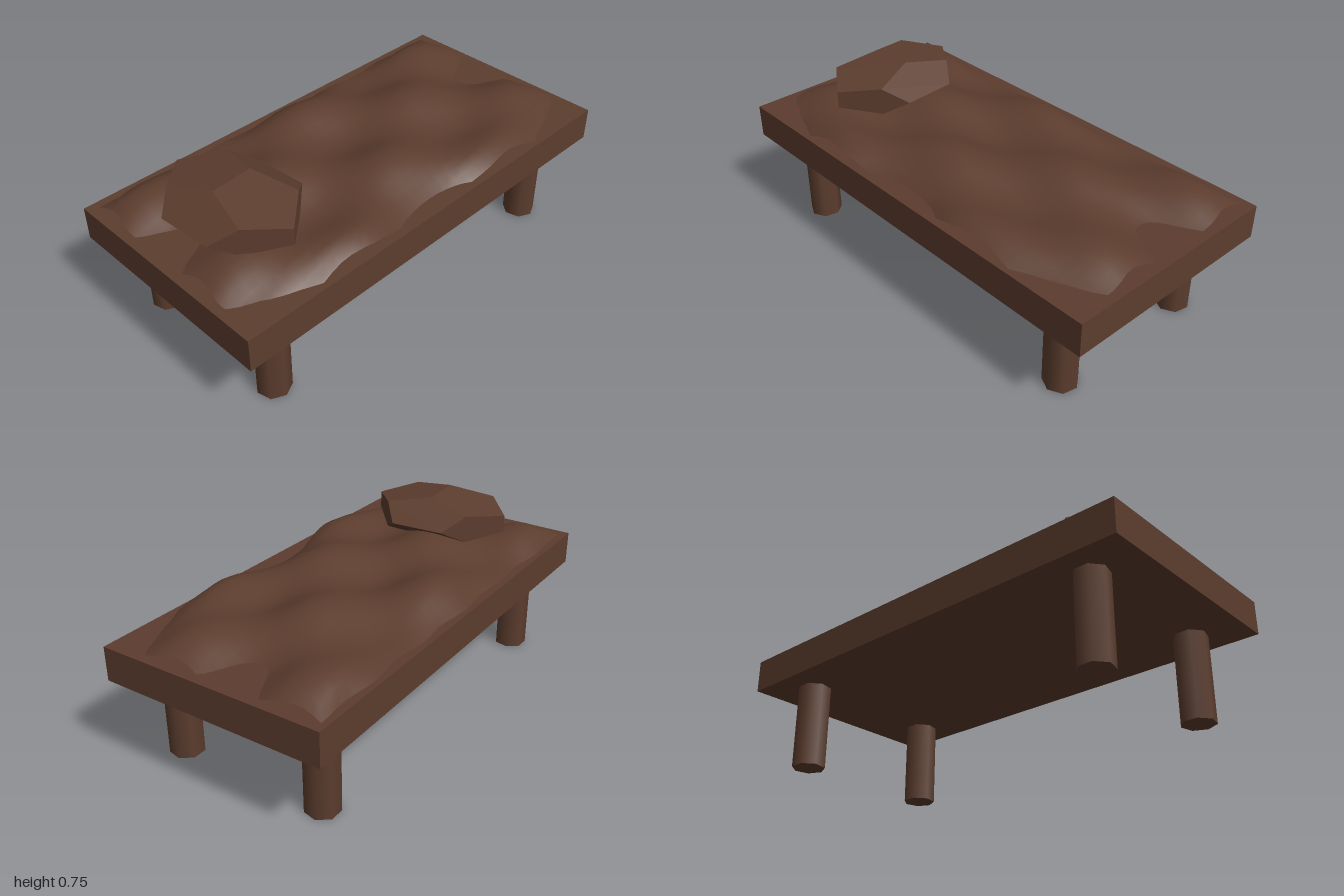
import * as THREE from 'three';

export function createModel() {
  const group = new THREE.Group();
  const wood = new THREE.MeshStandardMaterial({ color: 0x5c3d2e });
  wood.name = 'darkBrownWood';
  const hide = new THREE.MeshStandardMaterial({ color: 0x5c3d2e, side: THREE.DoubleSide });
  hide.name = 'darkBrownHide';
  const stone = new THREE.MeshStandardMaterial({ color: 0x5c3d2e, flatShading: true });
  stone.name = 'darkBrownPillow';

  const add = (name, geometry, material, x, y, z) => {
    const mesh = new THREE.Mesh(geometry, material);
    mesh.name = name;
    mesh.position.set(x, y, z);
    group.add(mesh);
    return mesh;
  };

  // Bed board
  add('board', new THREE.BoxGeometry(2, 0.147, 1), wood, 0, 0.4545, 0);

  // Four seven-sided legs
  const legGeometry = new THREE.CylinderGeometry(0.073, 0.073, 0.382, 7);
  for (const x of [-0.78, 0.78]) {
    for (const z of [-0.34, 0.34]) add('leg', legGeometry, wood, x, 0.191, z);
  }

  // Rumpled hide: crossed waves that sink towards the rim
  const halfX = 0.95, halfZ = 0.47;
  const sheet = new THREE.PlaneGeometry(2 * halfX, 2 * halfZ, 36, 22);
  sheet.rotateX(-Math.PI / 2);
  const p = sheet.attributes.position;
  for (let i = 0; i < p.count; i++) {
    const x = p.getX(i), z = p.getZ(i);
    const u = Math.abs(x) / halfX, v = Math.abs(z) / halfZ;
    const sink = Math.max(0.067 * u ** 4, 0.065 * v ** 6);
    const y = 0.592 - sink + 0.04 * Math.cos(7.5 * x) * Math.cos(11.7 * (z - 0.2));
    // slightly uneven outline
    const wobbleX = 0.012 * Math.sin(23 * z + 1) * u ** 8;
    const wobbleZ = 0.008 * Math.sin(19 * x + 2) * v ** 8;
    p.setXYZ(i, x + Math.sign(x) * wobbleX, y, z + Math.sign(z) * wobbleZ);
  }
  sheet.computeVertexNormals();
  add('hideCover', sheet, hide, 0, 0, 0);

  // Faceted pillow
  const pillow = add('pillow', new THREE.DodecahedronGeometry(Math.sqrt(3)), stone, -0.641, 0.648, 0);
  pillow.scale.set(0.153, 0.061, 0.197);
  pillow.rotation.y = 0.067;

  return group;
}
